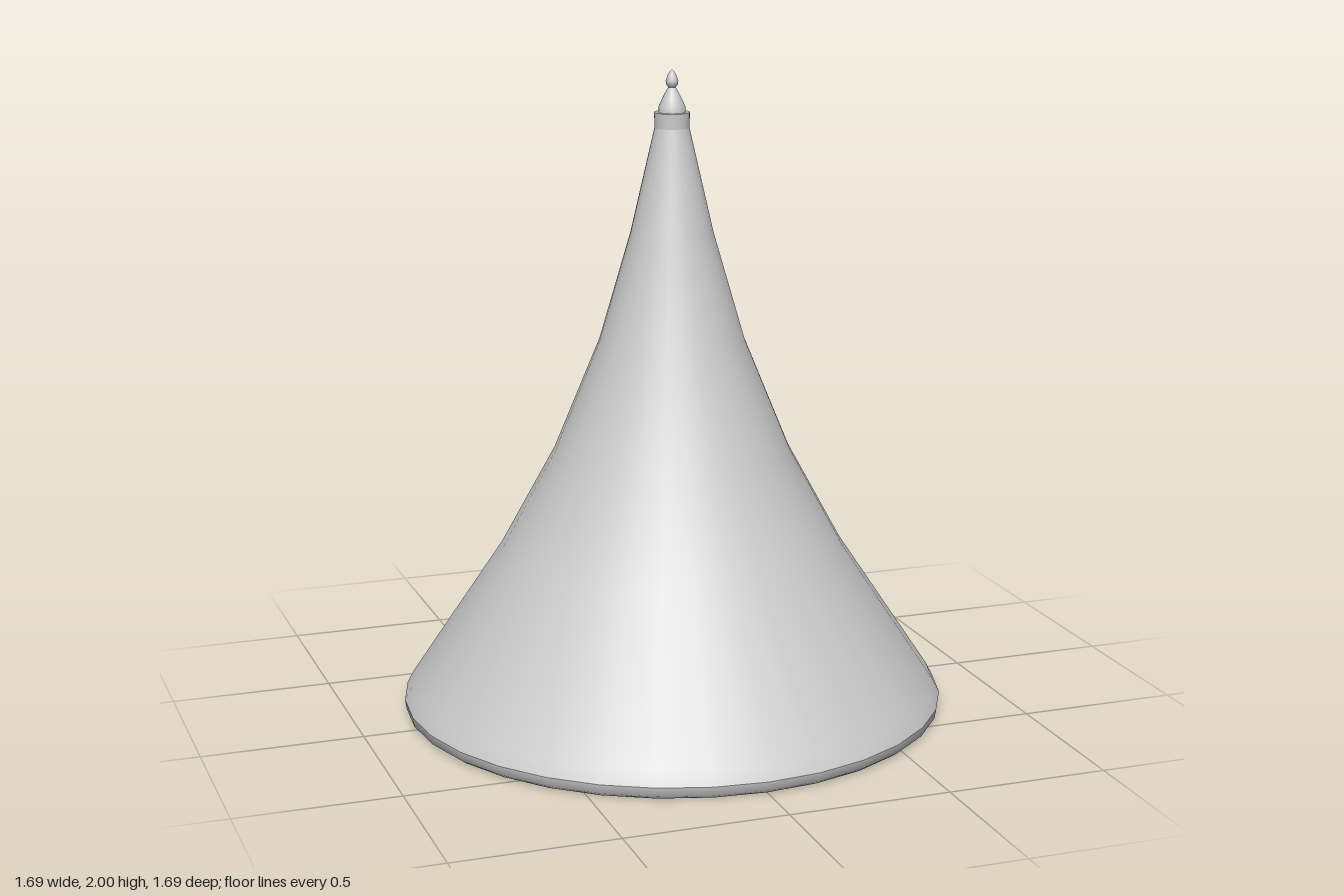
import * as THREE from 'three';

const SIDES = 32;
const material = new THREE.MeshStandardMaterial({ color: 0xcccccc, side: THREE.DoubleSide });

// Revolve a profile of [radius, height] pairs around the y axis
function revolve(name, profile, sides = SIDES) {
  const points = profile.map(([r, y]) => new THREE.Vector2(r, y));
  const mesh = new THREE.Mesh(new THREE.LatheGeometry(points, sides), material);
  mesh.name = name;
  return mesh;
}

export function createModel() {
  const model = new THREE.Group();
  model.name = 'conicalRoof';

  // Thin concave skin, open below
  model.add(revolve('roofSkin', [
    [0.845, 0.04], [0.824, 0.08], [0.535, 0.515], [0.366, 0.825],
    [0.224, 1.172], [0.127, 1.505], [0.053, 1.825],
  ]));

  // Rounded eave, turned in to a lip under the skin
  model.add(revolve('eaveLip', [
    [0.727, 0.03], [0.825, 0], [0.841, 0.012], [0.845, 0.04],
  ]));

  // Collar at the peak
  const collar = new THREE.Group();
  collar.name = 'collar';
  collar.add(
    revolve('collarWall', [[0.053, 1.825], [0.054, 1.872]]),
    revolve('collarTop', [[0.054, 1.872], [0, 1.872]]),
  );
  model.add(collar);

  // Finial: flared foot, narrow neck and pointed bud
  const finial = new THREE.Group();
  finial.name = 'finial';
  finial.add(
    revolve('finialFoot', [
      [0.042, 1.872], [0.04, 1.89], [0.031, 1.91], [0.02, 1.932], [0.011, 1.947],
    ], 16),
    revolve('finialBud', [
      [0.011, 1.947], [0.018, 1.956], [0.019, 1.966], [0.014, 1.982], [0.006, 1.995], [0, 2],
    ], 16),
  );
  model.add(finial);

  return model;
}
